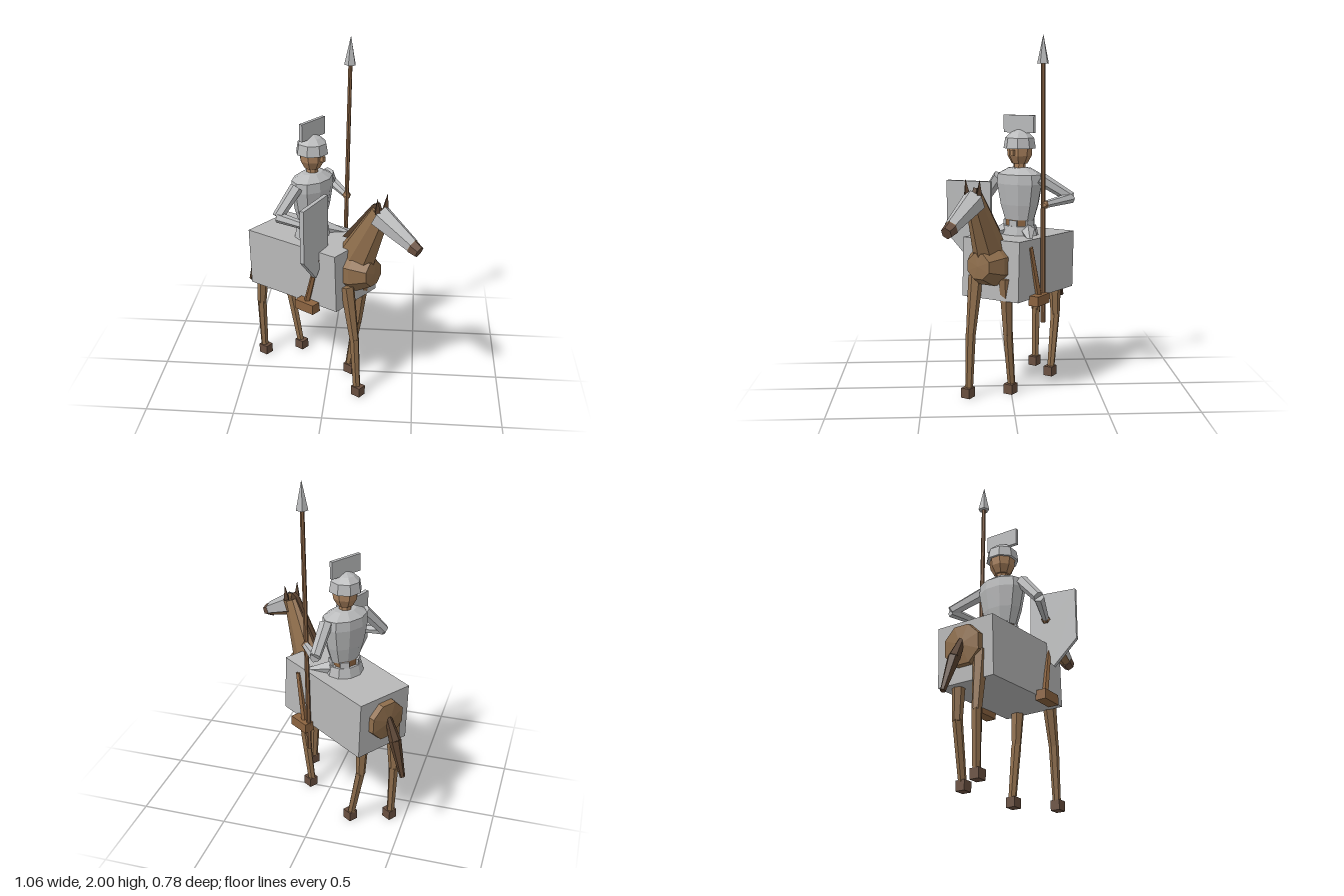
import * as THREE from 'three';

const paint = (name, color) =>
  Object.assign(new THREE.MeshStandardMaterial({ color, flatShading: true, side: THREE.DoubleSide }), { name });

export function createModel() {
  const coat = paint('coat brown', 0x8f6e4c);
  const hoofBrown = paint('hoof brown', 0x6a5040);
  const hairBrown = paint('hair brown', 0x57402e);
  const steel = paint('steel grey', 0xb9babb);
  const cloth = paint('cloth grey', 0xb8b8b8);
  const wood = paint('wood brown', 0x805d40);
  const leather = paint('leather brown', 0x8c6440);
  const skin = paint('skin tan', 0xa8805c);

  const model = new THREE.Group();
  model.name = 'mountedSoldier';
  // local +z is the riding direction, local +x is the rider's left
  const mount = new THREE.Group();
  mount.name = 'mount';
  mount.position.set(-0.11, 0, -0.065);
  mount.rotation.y = 0.976;
  model.add(mount);

  const add = (name, geo, mat, x = 0, y = 0, z = 0) => {
    const m = new THREE.Mesh(geo, mat);
    m.name = name;
    m.position.set(x, y, z);
    mount.add(m);
    return m;
  };
  const box = (name, mat, w, h, d, x, y, z) => add(name, new THREE.BoxGeometry(w, h, d), mat, x, y, z);
  const UP = new THREE.Vector3(0, 1, 0);
  // tapered limb from point a to point b
  const limb = (name, mat, a, b, ra, rb, sides = 6, sx = 1, arc = []) => {
    const A = new THREE.Vector3(...a), B = new THREE.Vector3(...b);
    const dir = B.clone().sub(A);
    const geo = new THREE.CylinderGeometry(rb, ra, dir.length(), sides, 1, arc.length > 0, ...arc);
    geo.scale(sx, 1, 1);
    const m = add(name, geo, mat);
    m.position.copy(A).add(B).multiplyScalar(0.5);
    m.quaternion.setFromUnitVectors(UP, dir.normalize());
    return m;
  };
  const lathe = (name, mat, pts, sides, sx = 1, sz = 1) => {
    const geo = new THREE.LatheGeometry(pts.map(p => new THREE.Vector2(...p)), sides);
    geo.rotateY(Math.PI / sides);
    geo.scale(sx, 1, sz);
    return add(name, geo, mat);
  };

  // horse barrel
  const barrel = lathe('horseBody', coat,
    [[0, -0.375], [0.115, -0.36], [0.13, -0.2], [0.13, 0.2], [0.122, 0.36], [0.075, 0.45], [0, 0.455]], 8);
  barrel.rotation.x = Math.PI / 2 - 0.05;
  barrel.position.y = 0.735;

  // cloth covering, slightly wider in front
  const cover = new THREE.BoxGeometry(0.366, 0.335, 0.652);
  const cp = cover.attributes.position;
  for (let i = 0; i < cp.count; i++) if (cp.getZ(i) < 0) cp.setX(i, cp.getX(i) * 0.955);
  add('horseCover', cover, cloth, 0, 0.707, 0).rotation.x = -0.04;

  // legs: [side x, top z, knee z, foot z, hoof x]
  const legs = [
    ['foreLeg', 0.09, 0.31, 0.275, 0.225, 0.075],
    ['foreLeg', -0.09, 0.335, 0.39, 0.41, -0.09],
    ['hindLeg', 0.088, -0.255, -0.25, -0.185, 0.105],
    ['hindLeg', -0.085, -0.305, -0.33, -0.32, -0.08],
  ];
  for (const [name, x, top, knee, foot, hx] of legs) {
    const kx = (x + hx) / 2;
    limb(name + 'Upper', coat, [x, 0.68, top], [kx, 0.35, knee], 0.042, 0.027);
    limb(name + 'Lower', coat, [kx, 0.36, knee], [hx, 0.05, foot], 0.028, 0.022);
    box('hoof', hoofBrown, 0.054, 0.056, 0.06, hx, 0.028, foot + 0.01);
  }

  // neck, mane, head
  limb('neck', coat, [0, 0.78, 0.31], [0, 1.14, 0.49], 0.125, 0.06, 8, 0.68);
  const maneShape = new THREE.Shape();
  [[0.24, 0.93], [0.275, 0.93], [0.49, 1.15], [0.475, 1.19], [0.44, 1.175]]
    .forEach(([z, y], i) => i ? maneShape.lineTo(-z, y) : maneShape.moveTo(-z, y));
  const maneGeo = new THREE.ExtrudeGeometry(maneShape, { depth: 0.024, bevelEnabled: false });
  maneGeo.translate(0, 0, -0.012);
  maneGeo.rotateY(Math.PI / 2);
  add('mane', maneGeo, hairBrown);
  limb('head', coat, [0, 1.115, 0.485], [0, 1.0, 0.705], 0.066, 0.038, 6, 0.95);
  limb('facePlate', steel, [0, 1.118, 0.485], [0, 1.005, 0.7], 0.07, 0.042, 4, 0.95,
    [Math.PI / 3, Math.PI * 4 / 3]);
  limb('muzzle', hoofBrown, [0, 1.0, 0.7], [0, 0.98, 0.745], 0.042, 0.034, 6, 0.95);
  for (const s of [1, -1]) limb('ear', hairBrown, [s * 0.038, 1.15, 0.495], [s * 0.045, 1.235, 0.5], 0.02, 0.001, 4);

  // tail
  limb('tailUpper', hairBrown, [0, 0.74, -0.36], [0, 0.62, -0.42], 0.018, 0.035, 6);
  limb('tailLower', hairBrown, [0, 0.62, -0.42], [0.005, 0.42, -0.495], 0.035, 0.015, 6);

  // rider legs and feet
  for (const s of [1, -1]) {
    limb('thigh', steel, [s * 0.05, 0.91, 0.01], [s * 0.15, 0.87, 0.15], 0.05, 0.012, 5);
    limb('lowerLeg', leather, [s * 0.186, 0.84, 0.2], [s * 0.2, 0.55, 0.13], 0.014, 0.018, 5);
    box('foot', leather, 0.062, 0.056, 0.13, s * 0.205, 0.54, 0.14);
  }

  // rider body, built as stacked rings
  const rider = [
    lathe('armourSkirt', steel, [[0, 0.87], [0.115, 0.87], [0.1, 0.93], [0, 0.93]], 10, 1, 0.85),
    lathe('belt', leather, [[0.083, 0.925], [0.083, 0.965]], 10, 1, 0.85),
    lathe('breastplate', steel,
      [[0, 0.955], [0.09, 0.955], [0.12, 1.05], [0.143, 1.17], [0.138, 1.225], [0.07, 1.26], [0, 1.265]], 10, 1, 0.7),
    lathe('neckOfRider', skin, [[0.035, 1.25], [0.035, 1.31]], 8),
    lathe('riderHead', skin, [[0, 1.28], [0.045, 1.285], [0.07, 1.33], [0.075, 1.4], [0, 1.42]], 8),
    lathe('helmet', steel, [[0.074, 1.375], [0.093, 1.372], [0.083, 1.432], [0.05, 1.462], [0, 1.485]], 8),
  ];
  for (const m of rider) m.position.z = 0.01;
  for (let i = 0; i < 5; i++) {
    const a = i * Math.PI * 2 / 5;
    box('beltStrap', steel, 0.05, 0.036, 0.02, Math.sin(a) * 0.08, 0.945, 0.01 + Math.cos(a) * 0.068).rotation.y = a;
  }
  box('nose', skin, 0.018, 0.03, 0.025, 0, 1.35, 0.085);
  box('crest', steel, 0.198, 0.1, 0.02, 0, 1.51, 0.012);

  // arms: shoulder, elbow, hand
  const arms = [
    [[0.135, 1.205, 0.01], [0.286, 1.095, -0.085], [0.212, 1.07, 0.09]],
    [[-0.135, 1.205, 0.01], [-0.262, 1.06, -0.022], [-0.189, 1.02, 0.165]],
  ];
  for (const [shoulder, elbow, hand] of arms) {
    limb('upperArm', steel, shoulder, elbow, 0.038, 0.031);
    limb('forearm', steel, elbow, hand, 0.031, 0.02);
    add('hand', new THREE.IcosahedronGeometry(0.026, 0), skin, ...hand);
  }

  // lance
  limb('lanceShaft', wood, [0.2, 0.395, 0.085], [0.209, 1.85, 0.112], 0.014, 0.012);
  limb('lanceHead', steel, [0.209, 1.845, 0.112], [0.21, 2.0, 0.114], 0.034, 0.001, 5);

  // pointed shield
  const outline = new THREE.Shape();
  [[-0.135, 0.225], [-0.135, -0.08], [0, -0.225], [0.135, -0.08], [0.135, 0.225]]
    .forEach(([x, y], i) => i ? outline.lineTo(x, y) : outline.moveTo(x, y));
  const shieldGeo = new THREE.ExtrudeGeometry(outline, { depth: 0.024, bevelEnabled: false });
  shieldGeo.translate(0, 0, -0.012);
  add('shield', shieldGeo, steel, -0.218, 0.965, 0.204).rotation.y = 0.19;

  return model;
}
